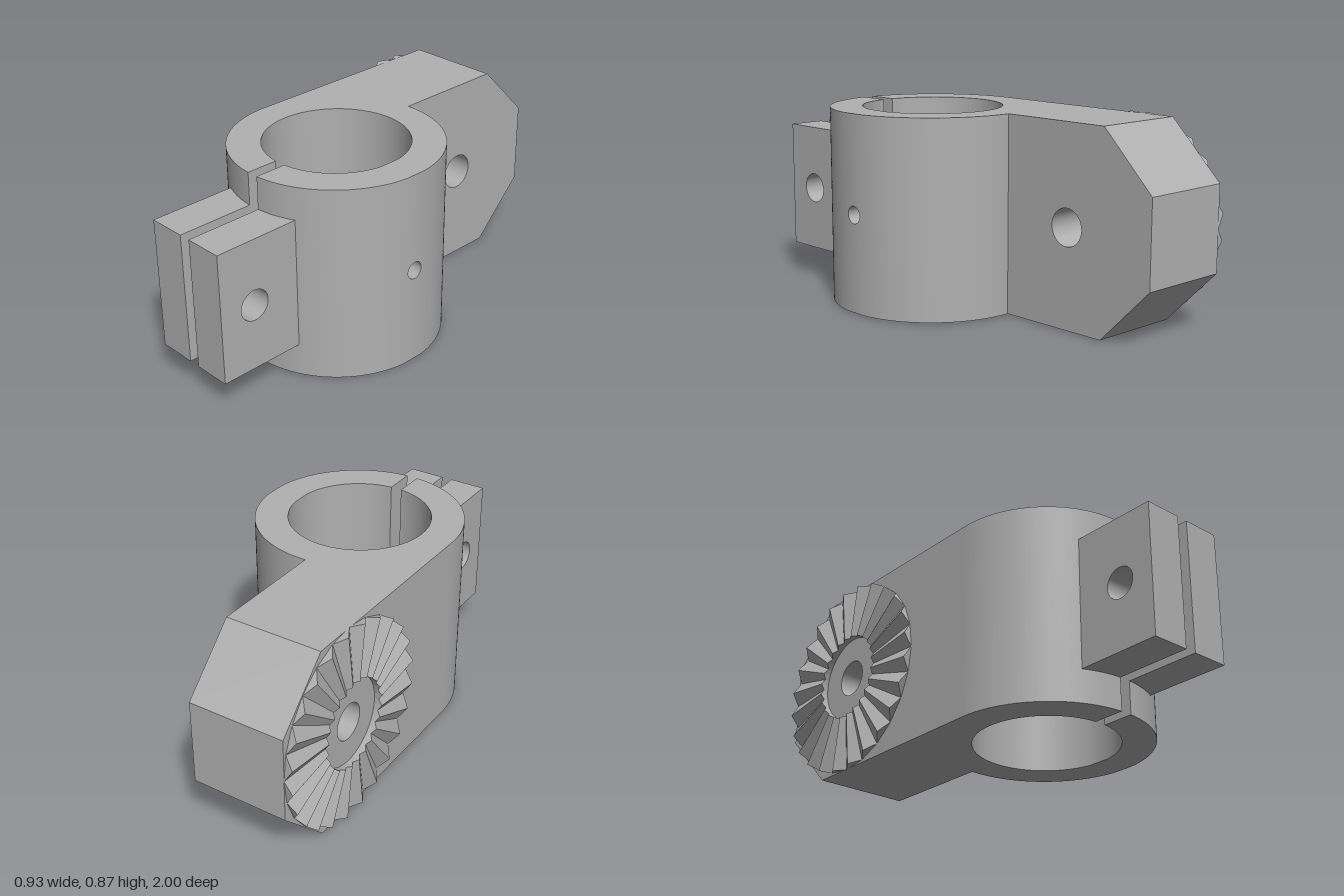
import * as THREE from 'three';
import { toCreasedNormals } from 'three/addons/utils/BufferGeometryUtils.js';

const CX = 0.0165, CZ = 0.2135;        // axis of the clamp ring
const R = 0.4485, RI = 0.307;          // outer and bore radius
const Y0 = 0.005, Y1 = 0.865, CY = 0.435;
const GAP_L = -0.007, GAP_R = 0.043;   // clamping slot
const ARM_X = CX - R;                  // flat outer face of the arm
const PIVOT_Z = -0.567;

export function createModel() {
  const group = new THREE.Group();
  const grey = new THREE.MeshStandardMaterial({ color: 0xb0b0b0 });
  grey.name = 'grey';

  const add = (name, geo) => {
    const mesh = new THREE.Mesh(geo, grey);
    mesh.name = name;
    group.add(mesh);
    return mesh;
  };
  const extrude = (shape, depth, curveSegments = 40) =>
    new THREE.ExtrudeGeometry(shape, { depth, bevelEnabled: false, curveSegments });

  // plan outlines (x, -z) extruded upwards
  const addPlan = (name, shape) => {
    const geo = toCreasedNormals(extrude(shape, Y1 - Y0), 0.4);
    geo.rotateX(-Math.PI / 2);
    geo.translate(0, Y0, 0);
    add(name, geo);
  };
  // side outlines (-z, y) with a round hole, extruded along x
  const sideShape = (points, holeZ, holeR) => {
    const s = new THREE.Shape(points.map(([z, y]) => new THREE.Vector2(-z, y)));
    s.holes.push(new THREE.Path().absarc(-holeZ, CY, holeR, 0, Math.PI * 2, true));
    return s;
  };
  const addSide = (name, points, holeZ, holeR, x0, x1) => {
    const geo = toCreasedNormals(extrude(sideShape(points, holeZ, holeR), x1 - x0, 20), 0.4);
    geo.rotateY(Math.PI / 2);
    geo.translate(x0, 0, 0);
    add(name, geo);
  };

  // clamp ring, interrupted by the slot and by the screw-hole panel at +x
  const W = 0.05;
  const angle = (x, r) => Math.acos((x - CX) / r);
  const armAngle = angle(GAP_L, R);
  const seamZ = CZ - R * Math.sin(armAngle);
  const TAU = Math.PI * 2;

  const main = new THREE.Shape();
  main.absarc(CX, -CZ, R, Math.asin(W / R), armAngle, false);
  main.lineTo(ARM_X, -seamZ);
  main.absarc(CX, -CZ, R, Math.PI, TAU - armAngle, false);
  main.absarc(CX, -CZ, RI, TAU - angle(GAP_L, RI), Math.asin(W / RI), true);
  main.closePath();
  addPlan('clampRing', main);

  const front = new THREE.Shape();
  front.absarc(CX, -CZ, R, -angle(GAP_R, R), -Math.asin(W / R), false);
  front.absarc(CX, -CZ, RI, -Math.asin(W / RI), -angle(GAP_R, RI), true);
  front.closePath();
  addPlan('clampRingFront', front);

  // ring panel with the small screw hole, curved to the ring radii
  const panel = extrude(sideShape([[W, Y0], [-W, Y0], [-W, Y1], [W, Y1]], 0, 0.038), 1, 16);
  const p = panel.attributes.position, n = panel.attributes.normal;
  for (let i = 0; i < p.count; i++) {
    const u = p.getX(i), r = p.getZ(i) > 0.5 ? R : RI;
    const x = Math.sqrt(r * r - u * u), nd = n.getZ(i);
    p.setXYZ(i, CX + x, p.getY(i), CZ - u);
    if (Math.abs(nd) > 0.5) n.setXYZ(i, nd * x / r, 0, -nd * u / r);
    else n.setXYZ(i, 0, n.getY(i), -n.getX(i));
  }
  add('screwHolePanel', panel);

  // pair of clamping ears
  const ear = [[1, 0.148], [1, 0.722], [0.58, 0.722], [0.58, 0.148]].reverse();
  addSide('rightEar', ear, 0.835, 0.067, -0.175, GAP_L);
  addSide('leftEar', ear, 0.835, 0.067, GAP_R, 0.21);

  // arm with chamfered end and pivot hole
  addSide('arm', [[seamZ, Y0], [-0.755, Y0], [-1, 0.25], [-1, 0.62], [-0.755, Y1], [seamZ, Y1]],
    PIVOT_Z, 0.08, ARM_X, GAP_L);

  // ring of radial locking teeth around the pivot
  const teeth = 24, ro = 0.433, ri = 0.19, h = 0.035;
  const hv = h * (1 - ri / ro);        // valleys rise towards the centre
  const verts = [];
  const pt = (r, a, up) => [ARM_X - up, CY + r * Math.sin(a), PIVOT_Z + r * Math.cos(a)];
  const tri = (a, b, c) => verts.push(...a, ...b, ...c);
  const quad = (a, b, c, d) => { tri(a, b, c); tri(a, c, d); };
  for (let k = 0; k < teeth; k++) {
    const step = TAU / teeth, a0 = k * step, a1 = a0 + step / 2, a2 = a0 + step;
    const v0 = pt(ro, a0, 0), v2 = pt(ro, a2, 0), peak = pt(ro, a1, h);
    const i0 = pt(ri, a0, hv), i1 = pt(ri, a1, h), i2 = pt(ri, a2, hv);
    const b0 = pt(ri, a0, 0), b1 = pt(ri, a1, 0), b2 = pt(ri, a2, 0);
    quad(i0, v0, peak, i1);
    quad(i1, peak, v2, i2);
    tri(v0, v2, peak);
    quad(b0, i0, i1, b1);
    quad(b1, i1, i2, b2);
  }
  const toothGeo = new THREE.BufferGeometry();
  toothGeo.setAttribute('position', new THREE.Float32BufferAttribute(verts, 3));
  toothGeo.computeVertexNormals();
  add('lockingTeeth', toothGeo);

  return group;
}
